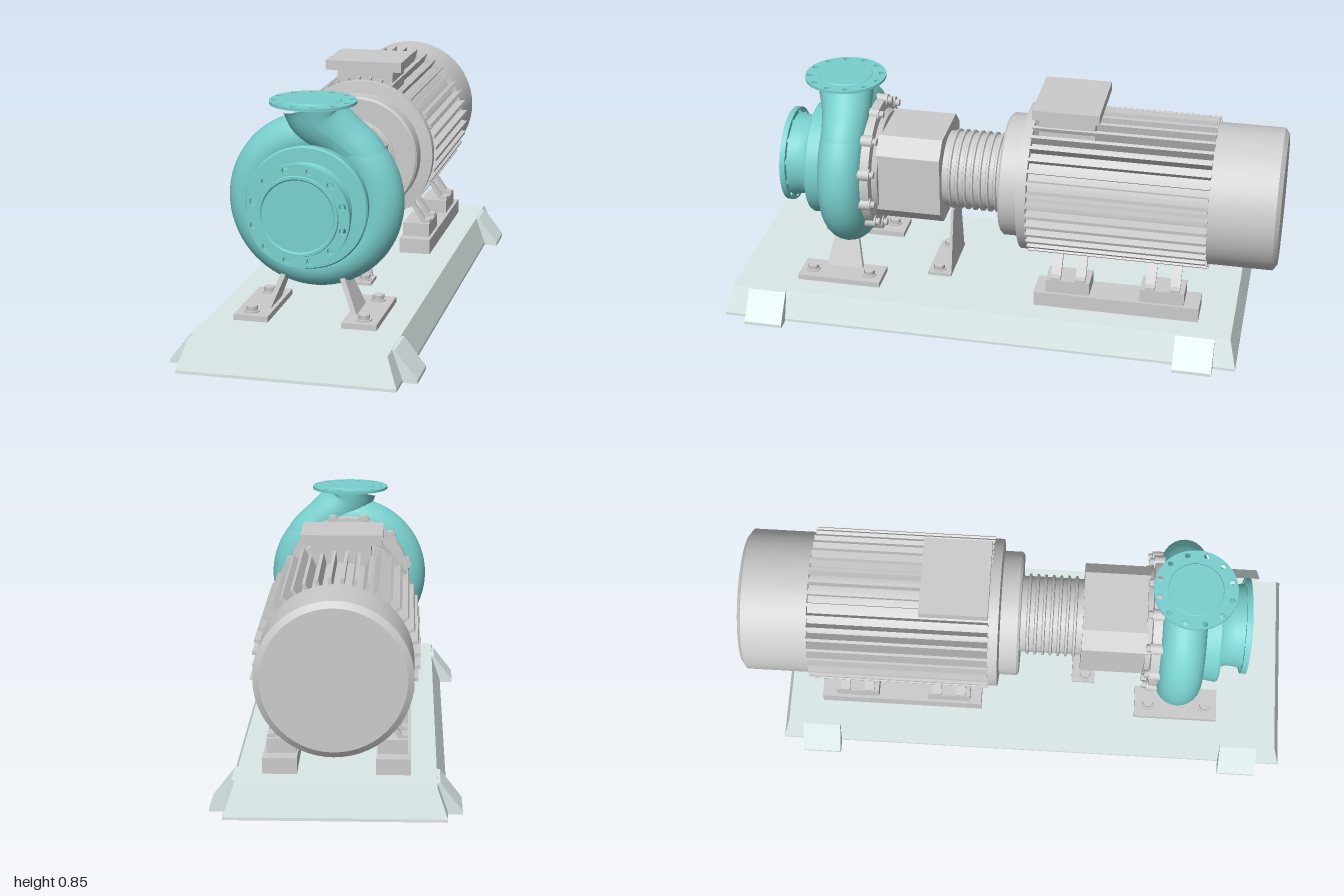
import * as THREE from 'three';
import { toCreasedNormals } from 'three/addons/utils/BufferGeometryUtils.js';

const grey = new THREE.MeshStandardMaterial({ color: 0xcccccc });
const teal = new THREE.MeshStandardMaterial({ color: 0x78d0ce });
const pale = new THREE.MeshStandardMaterial({ color: 0xdce8e8 });
const AXIS_Y = 0.508; // height of the shaft line

export function createModel() {
  const model = new THREE.Group();

  const add = (name, geometry, material = grey, x = 0, y = 0, z = 0, parent = model) => {
    const mesh = new THREE.Mesh(geometry, material);
    mesh.name = name;
    mesh.position.set(x, y, z);
    parent.add(mesh);
    return mesh;
  };
  const group = (name) => {
    const g = new THREE.Group();
    g.name = name;
    model.add(g);
    return g;
  };
  // Box given by its limits
  const box = (name, x0, x1, y0, y1, z0, z1, parent = model) =>
    add(name, new THREE.BoxGeometry(x1 - x0, y1 - y0, z1 - z0), grey,
      (x0 + x1) / 2, (y0 + y1) / 2, (z0 + z1) / 2, parent);
  // Turned part on the shaft line; profile is [radius, z] from back to front
  const turned = (name, profile, material = grey, parent = model, segments = 56) => {
    const g = new THREE.LatheGeometry(profile.map(p => new THREE.Vector2(...p)), segments);
    g.rotateX(Math.PI / 2);
    return add(name, toCreasedNormals(g, 0.6), material, 0, AXIS_Y, 0, parent);
  };
  const polygon = (pts) => new THREE.Shape(pts.map(p => new THREE.Vector2(...p)));
  const extrude = (shape, depth, curveSegments = 24) =>
    new THREE.ExtrudeGeometry(shape, { depth, bevelEnabled: false, curveSegments });
  // Round flange with a ring of bolt holes, thickness along +z
  const flange = (radius, holeCircle, holeRadius, depth) => {
    const s = new THREE.Shape().absarc(0, 0, radius, 0, Math.PI * 2);
    for (let i = 0; i < 12; i++) {
      const a = (i + 0.5) * Math.PI / 6;
      s.holes.push(new THREE.Path().absarc(
        holeCircle * Math.cos(a), holeCircle * Math.sin(a), holeRadius, 0, Math.PI * 2, true));
    }
    return toCreasedNormals(extrude(s, depth, 28), 0.6);
  };
  // Hexagon bolt with a washer, standing upright
  const bolt = (x, y, z, parent) => {
    add('washer', new THREE.CylinderGeometry(0.026, 0.026, 0.005, 20), grey, x, y + 0.0025, z, parent);
    add('bolt', new THREE.CylinderGeometry(0.021, 0.021, 0.018, 6), grey, x, y + 0.012, z, parent);
  };

  // Baseplate: tapered slab over a thin bottom rim
  const base = group('baseplate');
  const slab = new THREE.BoxGeometry(0.74, 0.1, 1.89);
  const p = slab.attributes.position;
  for (let i = 0; i < p.count; i++) {
    if (p.getY(i) > 0) p.setXYZ(i, Math.sign(p.getX(i)) * 0.335, 0.05, Math.sign(p.getZ(i)) * 0.92);
  }
  slab.computeVertexNormals();
  add('plate', slab, pale, 0, 0.06, 0.055, base);
  const rim = polygon([[-0.37, -0.945], [0.37, -0.945], [0.37, 0.945], [-0.37, 0.945]]);
  rim.holes.push(polygon([[-0.355, -0.93], [-0.355, 0.93], [0.355, 0.93], [0.355, -0.93]]));
  add('rim', extrude(rim, 0.01).rotateX(-Math.PI / 2), pale, 0, 0, 0.055, base);
  for (const s of [-1, 1]) for (const z of [-0.81, 0.77]) {
    const pad = polygon([[0.36, 0], [0.42, 0], [0.42, 0.012], [0.345, 0.109], [0.325, 0.109]]);
    const mesh = add('cornerPad', extrude(pad, 0.14), pale, 0, 0, z, base);
    if (s < 0) { mesh.rotation.y = Math.PI; mesh.position.z = z + 0.14; }
  }

  // Pump casing with suction nozzle
  const pump = group('pump');
  add('volute', new THREE.TorusGeometry(0.221, 0.081, 24, 72), teal, 0, AXIS_Y - 0.003, 0.58, pump);
  turned('casingAndSuctionNozzle', [[0, 0.505], [0.235, 0.505], [0.235, 0.6], [0.2, 0.65], [0.21, 0.712],
    [0.205, 0.72], [0.158, 0.722], [0.148, 0.745], [0.148, 0.77], [0.155, 0.803], [0, 0.803]], teal, pump);
  add('suctionFlange', flange(0.174, 0.156, 0.012, 0.02), teal, 0, AXIS_Y, 0.802, pump);
  turned('suctionFace', [[0.138, 0.82], [0.135, 0.828], [0.126, 0.828], [0.122, 0.823], [0, 0.823]], teal, pump);

  // Discharge nozzle: widening pipe sweeping out of the volute
  const path = new THREE.CatmullRomCurve3([[0.2, 0.57, 0.58], [0.165, 0.66, 0.58], [0.085, 0.73, 0.585],
    [0.015, 0.79, 0.6], [-0.003, 0.846, 0.605]].map(v => new THREE.Vector3(...v)));
  const pipe = new THREE.TubeGeometry(path, 32, 1, 32, false);
  const pp = pipe.attributes.position, v = new THREE.Vector3();
  for (let i = 0; i < pp.count; i++) {
    const t = Math.floor(i / 33) / 32, c = path.getPointAt(t);
    v.fromBufferAttribute(pp, i).sub(c).multiplyScalar(0.076 + 0.032 * t * t).add(c);
    pp.setXYZ(i, v.x, Math.min(v.y, 0.846), v.z);
  }
  pipe.computeVertexNormals();
  add('dischargeNozzle', pipe, teal, 0, 0, 0, pump);
  add('dischargeFlange', flange(0.147, 0.13, 0.01, 0.01).rotateX(-Math.PI / 2), teal, -0.003, 0.841, 0.605, pump);
  add('dischargeFace', new THREE.CylinderGeometry(0.095, 0.1, 0.006, 40), teal, -0.003, 0.851, 0.605, pump);

  // Bolted back cover
  turned('backCover', [[0, 0.45], [0.19, 0.45], [0.2, 0.468], [0.238, 0.47], [0.24, 0.508], [0, 0.508]], grey, pump);
  for (let i = 0; i < 12; i++) {
    const a = (i + 0.5) * Math.PI / 6, x = 0.232 * Math.cos(a), y = AXIS_Y + 0.232 * Math.sin(a);
    add('coverLug', new THREE.CylinderGeometry(0.022, 0.022, 0.045, 16).rotateX(Math.PI / 2), grey, x, y, 0.487, pump);
    add('coverBolt', new THREE.CylinderGeometry(0.014, 0.014, 0.016, 6).rotateX(Math.PI / 2), grey, x, y, 0.458, pump);
  }

  // Pump feet: slanted legs on bolted strips
  for (const s of [-1, 1]) {
    const foot = group(s > 0 ? 'leftPumpFoot' : 'rightPumpFoot');
    box('footStrip', s * 0.187 - 0.06, s * 0.187 + 0.06, 0.11, 0.13, 0.44, 0.75, foot);
    for (const z of [0.49, 0.705]) bolt(s * 0.195, 0.13, z, foot);
    const leg = new THREE.BoxGeometry(0.018, 0.13, 0.14);
    const lp = leg.attributes.position;
    for (let i = 0; i < lp.count; i++) {
      const top = lp.getY(i) > 0;
      lp.setX(i, lp.getX(i) + s * (top ? 0.1 : 0.152));
      if (top) lp.setZ(i, lp.getZ(i) * 0.6);
    }
    leg.computeVertexNormals();
    add('leg', leg, grey, 0, 0.19, 0.595, foot);
  }

  // Bearing bracket: square housing with cut corners
  const h = 0.167, k = 0.11;
  add('bearingBracket', extrude(polygon([[k, -h], [h, -k], [h, k], [k, h], [-k, h], [-h, k], [-h, -k], [-k, -h]]), 0.235),
    grey, 0, AXIS_Y, 0.222);

  // Thin plate supporting the bracket
  const support = group('bracketSupport');
  add('supportPlate', extrude(polygon([[-0.11, 0.12], [0.11, 0.12], [0.06, 0.36], [-0.06, 0.36]]), 0.01),
    grey, 0, 0, 0.197, support);
  box('supportFoot', -0.12, 0.12, 0.11, 0.122, 0.197, 0.285, support);
  for (const x of [-0.09, 0.09]) bolt(x, 0.12, 0.248, support);

  // Ribbed coupling guard
  const guard = [[0, -0.02], [0.138, -0.02]];
  for (let i = 0; i < 7; i++) {
    const z = 0.02 + i * 0.028;
    guard.push([0.138, z], [0.147, z + 0.003], [0.147, z + 0.01], [0.138, z + 0.013]);
  }
  turned('couplingGuard', [...guard, [0.138, 0.225], [0, 0.225]]);

  // Motor housing, cooling fins and fan hood
  const motor = group('motor');
  turned('motorFrontFlange', [[0, -0.11], [0.268, -0.11], [0.268, -0.075], [0.225, -0.07],
    [0.225, -0.008], [0.218, 0], [0, 0]], grey, motor);
  turned('motorBody', [[0, -0.76], [0.236, -0.76], [0.236, -0.1], [0, -0.1]], grey, motor);
  const fins = 40;
  for (let i = 0; i < fins; i++) {
    const a = (i + 0.5) * 2 * Math.PI / fins;
    const fin = add('coolingFin', new THREE.BoxGeometry(0.055, 0.012, 0.645), grey,
      0.249 * Math.cos(a), AXIS_Y + 0.249 * Math.sin(a), -0.43, motor);
    fin.rotation.z = a;
  }
  turned('fanHood', [[0, -1], [0.235, -1], [0.256, -0.985], [0.256, -0.752], [0, -0.752]], grey, motor);
  add('hoodCentre', new THREE.CylinderGeometry(0.005, 0.005, 0.004, 12).rotateX(Math.PI / 2), grey, 0, AXIS_Y, -0.998, motor);
  box('terminalBoxNeck', -0.105, 0.105, 0.72, 0.81, -0.33, -0.13, motor);
  box('terminalBox', -0.145, 0.14, 0.807, 0.843, -0.35, -0.11, motor);

  // Motor mounts: rail, two blocks and bent straps on each side
  const strap = polygon([[0.236, 0.213], [0.236, 0.225], [0.215, 0.228], [0.195, 0.258], [0.165, 0.3],
    [0.15, 0.3], [0.18, 0.253], [0.203, 0.218], [0.215, 0.213]]);
  for (const s of [-1, 1]) {
    const mount = group(s > 0 ? 'leftMotorMount' : 'rightMotorMount');
    box('rail', s * 0.19 - 0.058, s * 0.19 + 0.058, 0.11, 0.165, -0.74, -0.14, mount);
    for (const z of [-0.262, -0.605]) {
      box('block', s * 0.187 - 0.05, s * 0.187 + 0.05, 0.165, 0.215, z - 0.08, z + 0.08, mount);
      for (const dz of [-0.045, 0.045]) {
        const mesh = add('strap', extrude(strap, 0.036), grey, 0, 0, z + dz - 0.018 * s, mount);
        if (s < 0) mesh.rotation.y = Math.PI;
      }
    }
  }
  return model;
}
